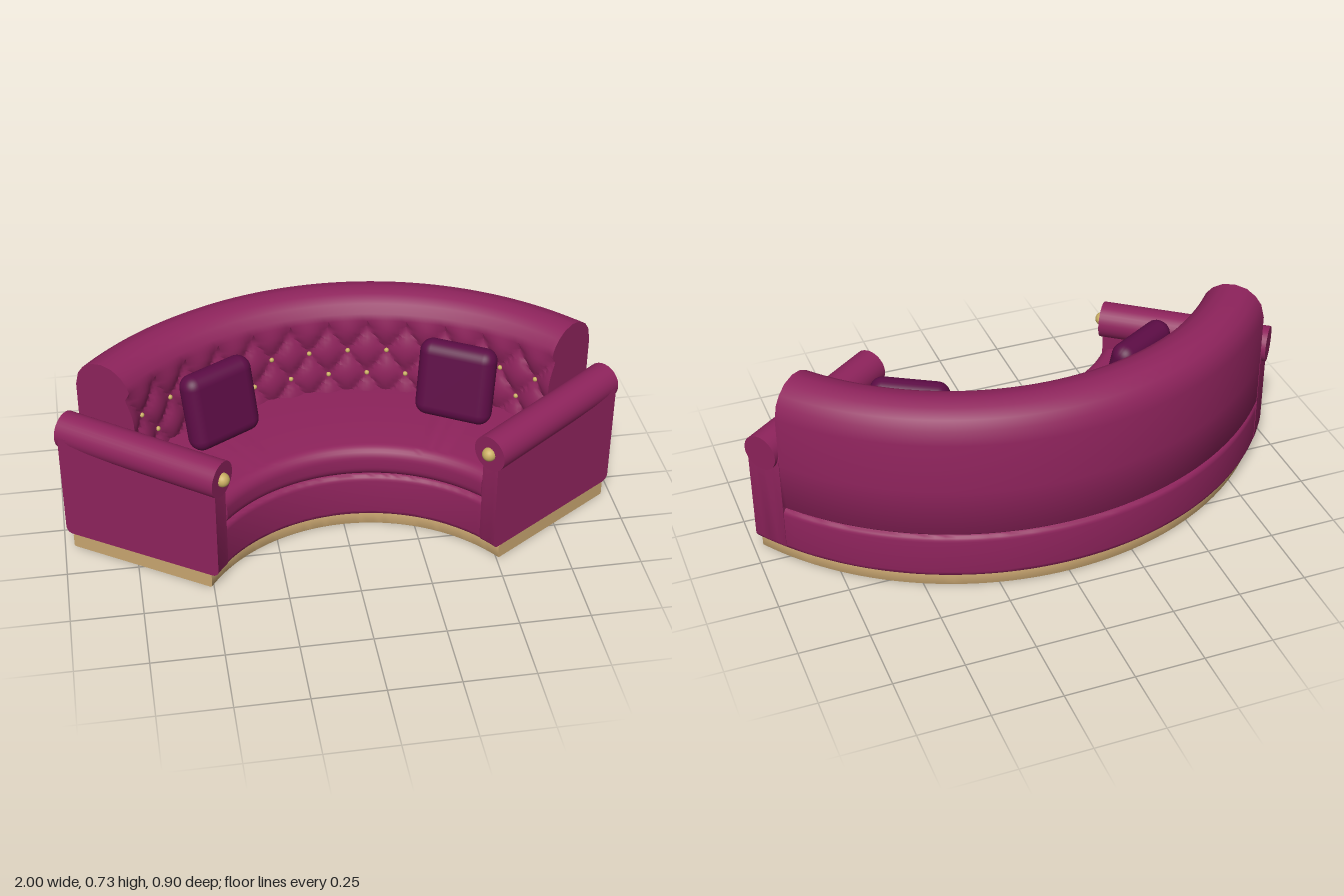
import * as THREE from 'three';
import { toCreasedNormals } from 'three/addons/utils/BufferGeometryUtils.js';
import { RoundedBoxGeometry } from 'three/addons/geometries/RoundedBoxGeometry.js';

const CZ = 0.735;                 // z of the centre of the sofa's arc
const DEG = Math.PI / 180;
const BODY = 50 * DEG, END = 56.5 * DEG, CELL = BODY / 6;

const material = (name, color) => {
  const m = new THREE.MeshStandardMaterial({ color });
  m.name = name;
  return m;
};

// Point at radius r, height y and angle t (0 = middle of the back)
const polar = (r, y, t) => new THREE.Vector3(r * Math.sin(t), y, CZ - r * Math.cos(t));

// Counter-clockwise rounded rectangle in (radius, height)
function roundedRect(r0, r1, y0, y1, rad, steps = 5) {
  const pts = [];
  const corners = [[r1 - rad, y0 + rad, -90], [r1 - rad, y1 - rad, 0], [r0 + rad, y1 - rad, 90], [r0 + rad, y0 + rad, 180]];
  for (const [cx, cy, a0] of corners) {
    for (let i = 0; i <= steps; i++) {
      const a = (a0 + 90 * i / steps) * DEG;
      pts.push([cx + rad * Math.cos(a), cy + rad * Math.sin(a)]);
    }
  }
  return pts;
}

// Sweep a closed profile (which may depend on the angle) along the arc, with end caps
function arcSolid(profileAt, a0, a1, segs, crease = 0.7) {
  const pos = [], idx = [];
  const n = profileAt(a0).length;
  for (let i = 0; i <= segs; i++) {
    const t = a0 + (a1 - a0) * i / segs;
    for (const [r, y] of profileAt(t)) pos.push(...polar(r, y, t).toArray());
  }
  for (let i = 0; i < segs; i++) {
    for (let j = 0; j < n; j++) {
      const k = (j + 1) % n;
      const a = i * n + j, b = i * n + k, c = b + n, d = a + n;
      idx.push(a, b, c, a, c, d);
    }
  }
  for (const [t, base, flip] of [[a0, 0, true], [a1, segs * n, false]]) {
    const contour = profileAt(t).map(([r, y]) => new THREE.Vector2(r, y));
    for (const [a, b, c] of THREE.ShapeUtils.triangulateShape(contour, [])) {
      idx.push(base + a, base + (flip ? c : b), base + (flip ? b : c));
    }
  }
  const g = new THREE.BufferGeometry();
  g.setAttribute('position', new THREE.Float32BufferAttribute(pos, 3));
  g.setIndex(idx);
  return toCreasedNormals(g, crease);
}

// Diamond tufting: buttons sit where both lattice coordinates are whole numbers
const ROW = 0.095, ROW_Y = 0.42;
const tuftBase = (y) => 0.978 - 0.05 * (0.61 - y);
function tuftRadius(y, t) {
  const u = t / CELL, v = (y - ROW_Y) / ROW;
  const puff = Math.abs(Math.sin(Math.PI * (u + v / 2)) * Math.sin(Math.PI * (u - v / 2)));
  return tuftBase(y) - 0.026 * Math.sqrt(puff);
}

// Backrest section: plain outside, rolled top, tufted inside
function backProfile(t) {
  const pts = [[1.0, 0.232], [1.172, 0.232], [1.185, 0.245], [1.185, 0.42], [1.185, 0.61], [1.172, 0.66],
    [1.15, 0.69], [1.115, 0.715], [1.07, 0.725], [1.025, 0.718], [0.99, 0.697], [0.966, 0.668], [0.958, 0.645]];
  const rows = 22;
  for (let i = 0; i <= rows; i++) {
    const y = 0.612 - (0.612 - 0.335) * i / rows;
    pts.push([tuftRadius(y, t), y]);
  }
  return pts;
}

export function createModel() {
  const group = new THREE.Group();
  group.name = 'curvedSofa';
  const velvet = material('berryVelvet', 0x8e235c);
  const plum = material('plumVelvet', 0x5c0c45);
  const wood = material('paleWood', 0xc8a570);
  const brass = material('brass', 0xc9ae62);

  const add = (name, geometry, mat, parent = group) => {
    const mesh = new THREE.Mesh(geometry, mat);
    mesh.name = name;
    parent.add(mesh);
    return mesh;
  };
  const addArc = (name, pts, a0, a1, segs, mat) => add(name, arcSolid(() => pts, a0, a1, segs), mat);

  // Plinth, lower body, seat cushion and backrest follow the same arc
  addArc('plinth', roundedRect(0.608, 1.16, 0, 0.054, 0.006, 2), -END, END, 56, wood);
  addArc('lowerBody', roundedRect(0.585, 1.185, 0.052, 0.231, 0.025), -BODY, BODY, 56, velvet);
  addArc('seatCushion', roundedRect(0.575, 1.0, 0.231, 0.352, 0.045, 7), -BODY, BODY, 56, velvet);
  add('backrest', arcSolid(backProfile, -BODY, BODY, 120, 0.9), velvet);

  // Brass buttons at the tuft points, two staggered rows
  const buttons = new THREE.Group();
  buttons.name = 'tuftButtons';
  group.add(buttons);
  const buttonGeo = new THREE.SphereGeometry(0.009, 12, 8);
  for (const [y, first, count] of [[ROW_Y, -5, 11], [ROW_Y + ROW, -5.5, 12]]) {
    for (let i = 0; i < count; i++) {
      const b = add('button', buttonGeo, brass, buttons);
      b.position.copy(polar(tuftBase(y) - 0.005, y, (first + i) * CELL));
    }
  }

  // Arms, rolls, finials and pillows on both sides
  for (const s of [-1, 1]) {
    const side = s > 0 ? 'left' : 'right';
    const a0 = s > 0 ? BODY : -END, a1 = s > 0 ? END : -BODY;
    addArc(side + 'ArmPanel', roundedRect(0.58, 1.187, 0.054, 0.465, 0.025), a0, a1, 4, velvet);

    const t = s * 53.25 * DEG;
    const roll = add(side + 'ArmRoll', new THREE.CylinderGeometry(0.066, 0.066, 0.63, 32), velvet);
    roll.position.copy(polar(0.884, 0.457, t));
    roll.rotation.set(Math.PI / 2, -t, 0, 'YXZ');

    const finial = add(side + 'ArmFinial', new THREE.SphereGeometry(0.025, 20, 14), brass);
    finial.position.copy(polar(0.567, 0.457, t));

    const p = s * 30 * DEG;
    const pillow = add(side + 'Pillow', new RoundedBoxGeometry(0.28, 0.285, 0.095, 5, 0.045), plum);
    pillow.position.copy(polar(0.842, 0.5, p));
    pillow.rotation.set(-0.2, -p, 0, 'YXZ');
  }
  return group;
}
